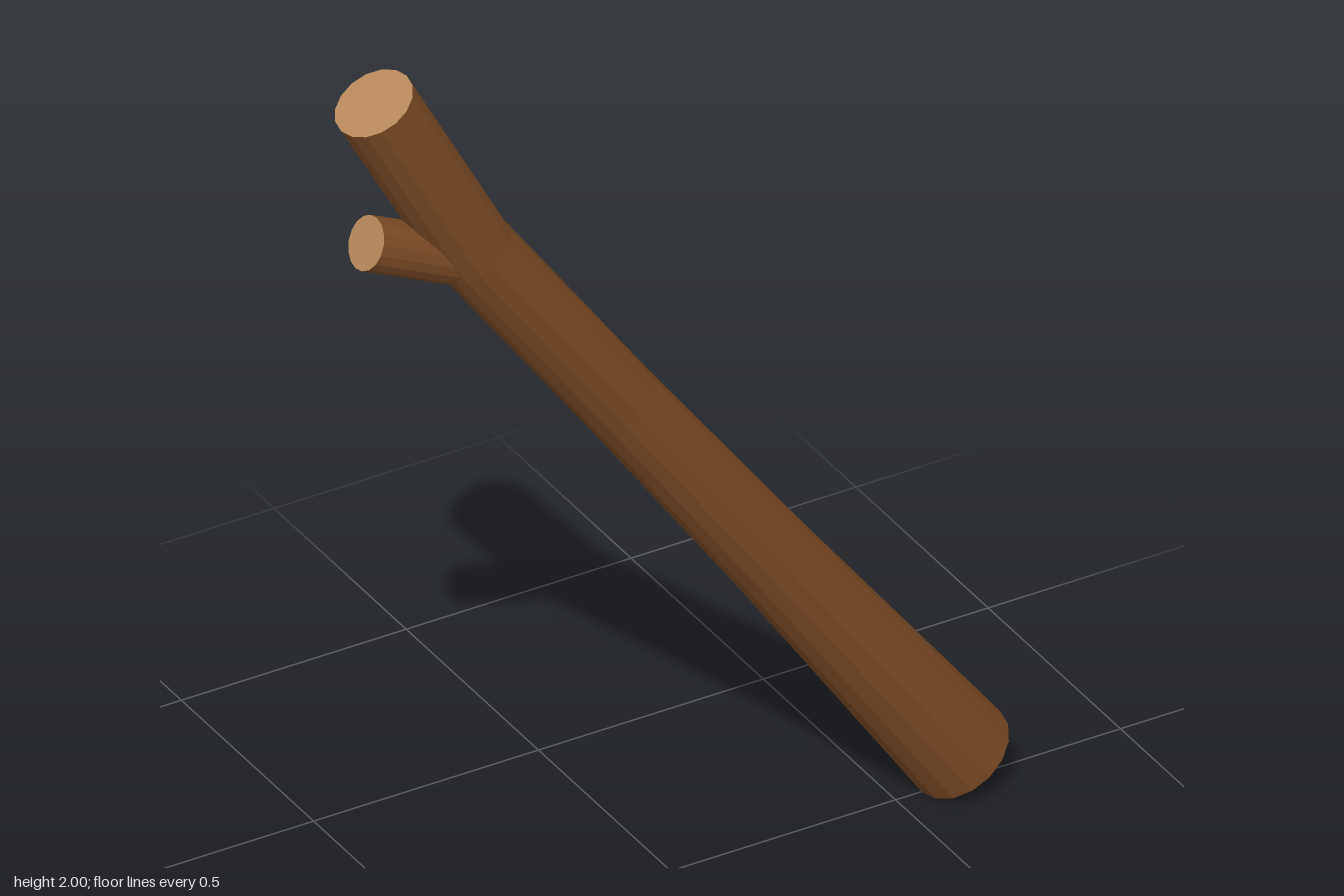
import * as THREE from 'three';

const SIDES = 16;

const bark = new THREE.MeshStandardMaterial({ color: 0x7a4a24, flatShading: true });
bark.name = 'bark';
const cutWood = new THREE.MeshStandardMaterial({ color: 0xb88a5c, flatShading: true });
cutWood.name = 'cutWood';

// Ring of points around each [x, y, radius] station, mitred at the bends
function makeRings(stations) {
  const points = stations.map(([x, y]) => new THREE.Vector2(x, y));
  return stations.map(([x, y, r], i) => {
    const dir = new THREE.Vector2();
    if (i > 0) dir.add(points[i].clone().sub(points[i - 1]).normalize());
    if (i < points.length - 1) dir.add(points[i + 1].clone().sub(points[i]).normalize());
    dir.normalize();
    return Array.from({ length: SIDES }, (_, j) => {
      const a = (j / SIDES) * Math.PI * 2;
      const c = Math.cos(a) * r;
      return [x + dir.y * c, y - dir.x * c, -Math.sin(a) * r];
    });
  });
}

function meshFrom(name, triangles, material) {
  const geometry = new THREE.BufferGeometry();
  geometry.setAttribute('position', new THREE.Float32BufferAttribute(triangles.flat(), 3));
  geometry.computeVertexNormals();
  const mesh = new THREE.Mesh(geometry, material);
  mesh.name = name;
  return mesh;
}

// Bark skin with a sawn face at each end
function makeLimb(name, stations) {
  const rings = makeRings(stations);
  const last = rings.length - 1;
  const skin = [], lower = [], upper = [];
  for (let j = 0; j < SIDES; j++) {
    const k = (j + 1) % SIDES;
    for (let i = 0; i < last; i++) {
      const a = rings[i][j], b = rings[i][k], c = rings[i + 1][k], d = rings[i + 1][j];
      skin.push(a, b, c, a, c, d);
    }
    lower.push([stations[0][0], stations[0][1], 0], rings[0][k], rings[0][j]);
    upper.push([stations[last][0], stations[last][1], 0], rings[last][j], rings[last][k]);
  }
  const limb = new THREE.Group();
  limb.name = name;
  limb.add(
    meshFrom(name + 'Bark', skin, bark),
    meshFrom(name + 'LowerCut', lower, cutWood),
    meshFrom(name + 'UpperCut', upper, cutWood)
  );
  return limb;
}

export function createModel() {
  const model = new THREE.Group();
  model.name = 'log';

  // Leaning trunk, thick at the foot and kinked near the top
  model.add(makeLimb('trunk', [
    [0.645, 0.066, 0.108],
    [0.225, 0.645, 0.088],
    [-0.11, 1.105, 0.08],
    [-0.44, 1.56, 0.081],
    [-0.66, 1.96, 0.083],
  ]));

  // Short stub growing from the kink
  model.add(makeLimb('branchStub', [
    [-0.435, 1.532, 0.055],
    [-0.677, 1.648, 0.055],
  ]));

  return model;
}
